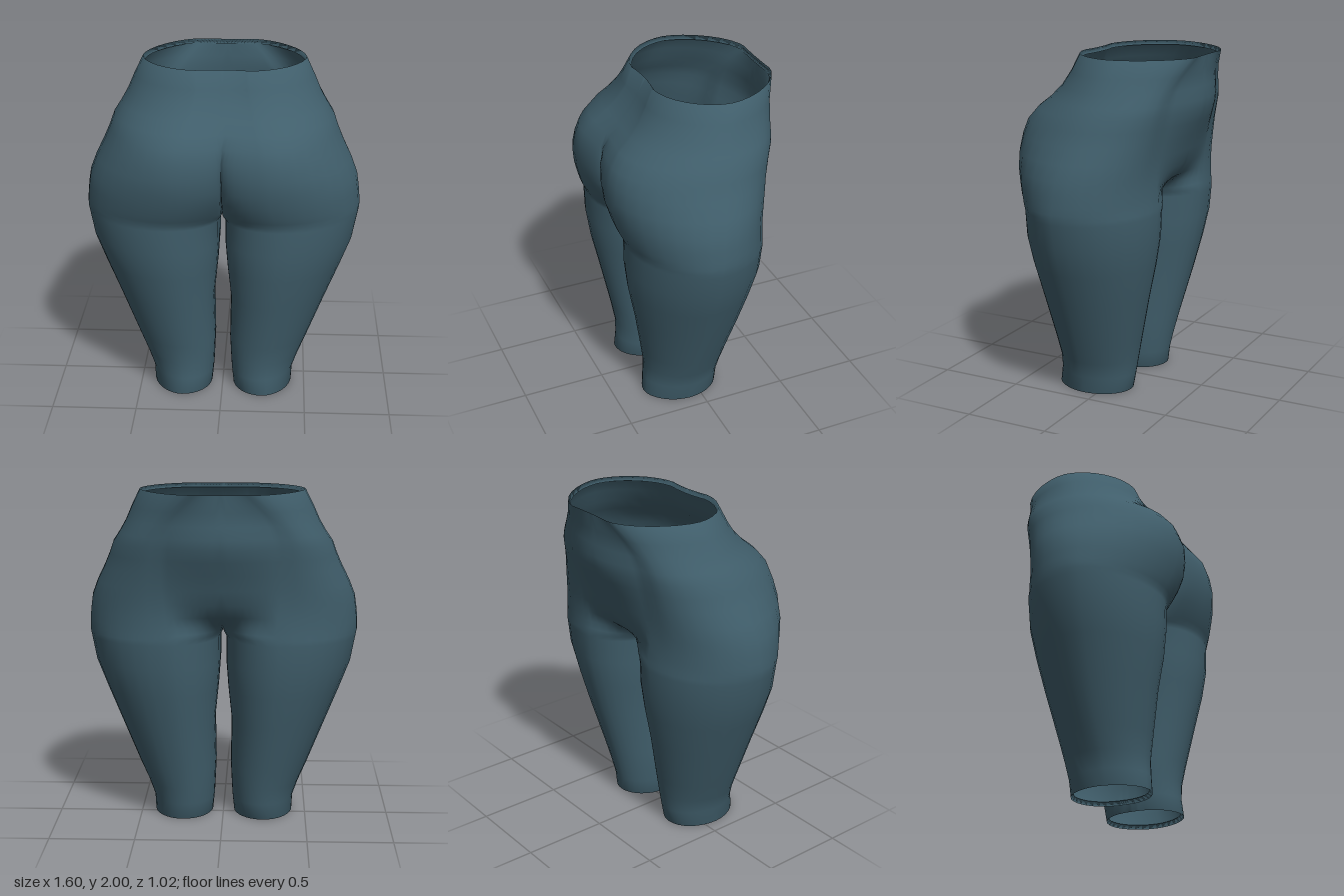
import * as THREE from 'three';
import { mergeVertices } from 'three/addons/utils/BufferGeometryUtils.js';

const STEPS = 8; // points per quarter of a section
const WALL = 4; // points along the inside of a leg

// y, outer x, inner x, z of side, back z, back inner z, front z, front inner z
const LEG_ROWS = [
  [0.025, 0.405, 0.08, 0.08, 0.295, 0.11, -0.135, 0.06],
  [0.002, 0.42, 0.065, 0.08, 0.315, 0.11, -0.15, 0.06],
  [0.1, 0.425, 0.055, 0.08, 0.305, 0.11, -0.165, 0.06],
  [0.2, 0.46, 0.05, 0.08, 0.302, 0.12, -0.185, 0.05],
  [0.32, 0.51, 0.045, 0.07, 0.32, 0.13, -0.21, 0.04],
  [0.6, 0.62, 0.05, 0.06, 0.37, 0.14, -0.275, 0.02],
  [0.8, 0.70, 0.03, 0.06, 0.41, 0.16, -0.32, 0.01],
  [0.97, 0.765, 0.018, 0.06, 0.43, 0.18, -0.35, 0.0],
  [1.12, 0.793, 0.018, 0.06, 0.43, 0.2, -0.358, 0.0],
  [1.15, 0.799, 0, 0.06, 0.434, 0.21, -0.358, 0.01],
];

// y, outer x, z of side, back z, cleft z, back peak x, front z, front centre z, front peak x
const HIP_ROWS = [
  [1.18, 0.80, 0.06, 0.447, 0.25, 0.31, -0.356, -0.10, 0.31],
  [1.22, 0.798, 0.05, 0.465, 0.29, 0.30, -0.354, -0.22, 0.31],
  [1.28, 0.792, 0.05, 0.485, 0.35, 0.28, -0.35, -0.32, 0.32],
  [1.36, 0.78, 0.04, 0.506, 0.40, 0.27, -0.352, -0.375, 0.33],
  [1.45, 0.745, 0.02, 0.515, 0.425, 0.27, -0.362, -0.405, 0.34],
  [1.54, 0.70, 0.0, 0.505, 0.44, 0.26, -0.378, -0.437, 0.34],
  [1.62, 0.665, -0.02, 0.48, 0.44, 0.25, -0.395, -0.47, 0.34],
  [1.69, 0.64, -0.04, 0.425, 0.408, 0.22, -0.41, -0.493, 0.34],
  [1.75, 0.60, -0.06, 0.352, 0.345, 0.2, -0.42, -0.499, 0.33],
  [1.82, 0.56, -0.08, 0.287, 0.282, 0.18, -0.432, -0.493, 0.30],
  [1.9, 0.525, -0.1, 0.24, 0.23, 0.16, -0.46, -0.488, 0.24],
  [2.0, 0.475, -0.13, 0.195, 0.18, 0.15, -0.51, -0.505, 0.16],
  [1.975, 0.463, -0.13, 0.18, 0.165, 0.15, -0.495, -0.49, 0.16],
];

const { lerp, smoothstep } = THREE.MathUtils;

// Outer half of a section: back centre, round the side, to front centre
function outerArc(y, xo, xi, zs, zB, zcB, xB, zF, zcF, xF) {
  const pts = [];
  const belly = smoothstep(y, 1.15, 1.3); // round inner thigh becomes broad belly
  const back = smoothstep(y, 1.55, 1.75); // sharp cleft fades into the small of the back
  const frontPower = 1 + 0.22 * smoothstep(y, 1.7, 2); // flatter towards the waist
  // Across from a peak (s = 0) to the centre (s = 1), round or smooth
  const inner = (s, x, z, zc, blend) => {
    const t = s * Math.PI / 2;
    const across = lerp(1 - Math.sin(t), 1 - s, blend);
    const depth = lerp(Math.cos(t), (1 - s) ** 2, blend);
    return [xi + (x - xi) * across, y, zc + (z - zc) * depth];
  };
  const outer = (s, x, z, p) => {
    const t = s * Math.PI / 2;
    return [x + (xo - x) * Math.sin(t) ** p, y, zs + (z - zs) * Math.max(Math.cos(t), 0) ** p];
  };
  for (let k = 0; k < STEPS; k++) pts.push(inner(1 - k / STEPS, xB, zB, zcB, back));
  for (let k = 0; k < STEPS; k++) pts.push(outer(k / STEPS, xB, zB, 1.1));
  for (let k = 0; k < STEPS; k++) pts.push(outer(1 - k / STEPS, xF, zF, frontPower));
  for (let k = 0; k <= STEPS; k++) pts.push(inner(k / STEPS, xF, zF, zcF, belly));
  return pts;
}

// Closed leg section: outer arc plus the inside wall back to the start
function legRing([y, xo, xi, zs, zB, zcB, zF, zcF]) {
  const mid = (xo + xi) / 2 - 0.07 * y;
  const pts = outerArc(y, xo, xi, zs, zB, zcB, mid, zF, zcF, mid);
  for (let k = 1; k <= WALL; k++) pts.push([xi, y, zcF + (zcB - zcF) * k / WALL]);
  return pts;
}

function trousersGeometry() {
  const legs = LEG_ROWS.map(legRing);
  const arcLength = 4 * STEPS + 1;
  // The hips carry on from the outer arc of the top leg ring
  const hips = [legs[legs.length - 1].slice(0, arcLength)];
  for (const [y, xo, ...rest] of HIP_ROWS) hips.push(outerArc(y, xo, 0, ...rest));

  const positions = [];
  const indices = [];
  const addSkin = (rows, side) => {
    const start = positions.length / 3;
    const n = rows[0].length;
    for (const row of rows) for (const [x, y, z] of row) positions.push(x * side, y, z);
    for (let i = 0; i < rows.length - 1; i++) {
      for (let j = 0; j < n - 1; j++) {
        const a = start + i * n + j, b = a + 1, c = b + n, d = a + n;
        if (side > 0) indices.push(a, b, c, a, c, d);
        else indices.push(a, c, b, a, d, c);
      }
    }
  };
  for (const side of [1, -1]) {
    addSkin(legs, side);
    addSkin(hips, side);
  }
  const geometry = new THREE.BufferGeometry();
  geometry.setAttribute('position', new THREE.Float32BufferAttribute(positions, 3));
  geometry.setIndex(indices);
  const welded = mergeVertices(geometry, 1e-4);
  welded.computeVertexNormals();
  return welded;
}

export function createModel() {
  const group = new THREE.Group();
  group.name = 'trousers';
  const cloth = new THREE.MeshStandardMaterial({ color: 0x405e6b, side: THREE.DoubleSide });
  cloth.name = 'slate blue cloth';
  // One continuous skin, open at the waist and at both leg hems
  const skin = new THREE.Mesh(trousersGeometry(), cloth);
  skin.name = 'hipsAndLegs';
  group.add(skin);
  return group;
}
